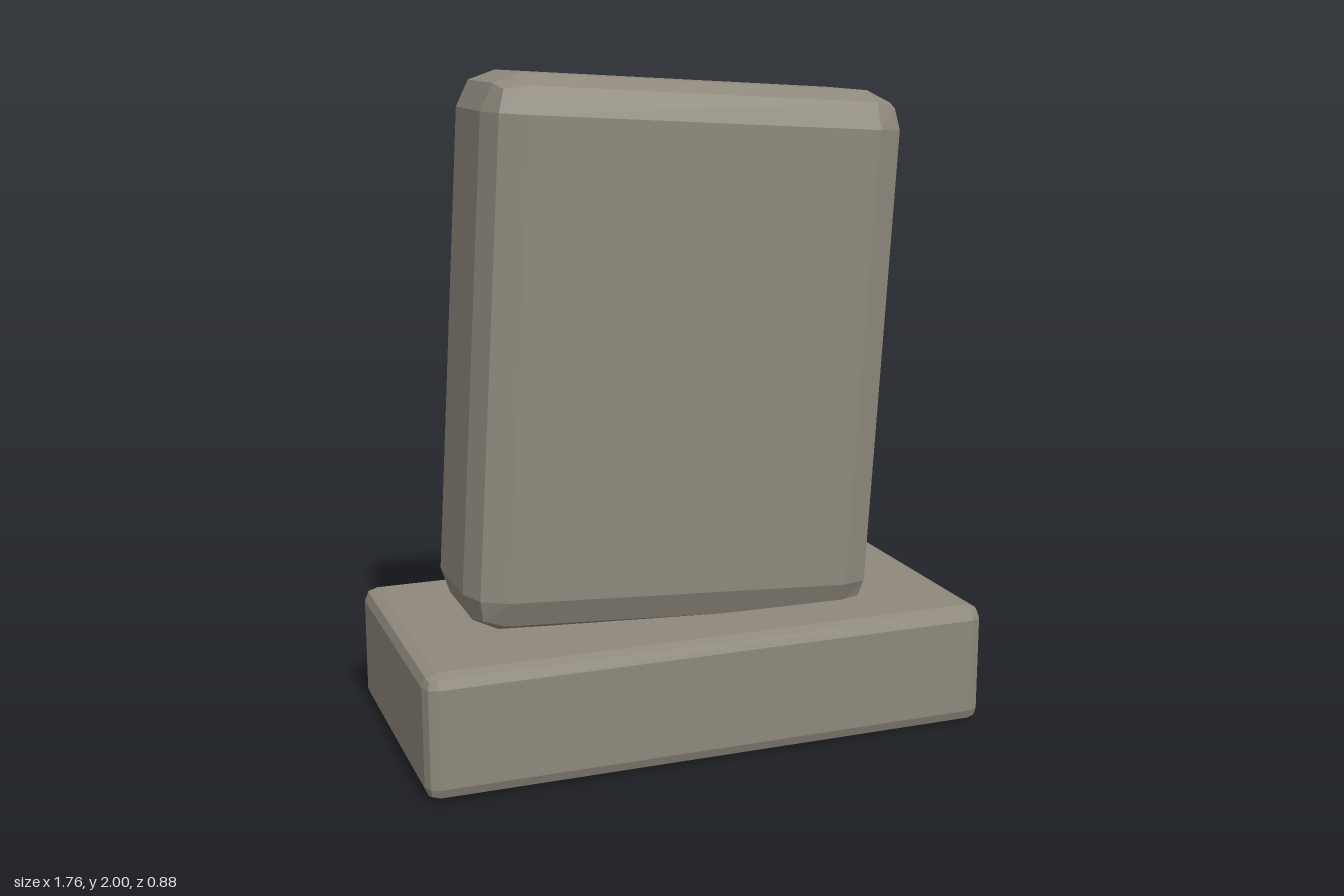
import * as THREE from 'three';
import { RoundedBoxGeometry } from 'three/addons/geometries/RoundedBoxGeometry.js';

const stone = new THREE.MeshStandardMaterial({ color: 0x8e887c, flatShading: true });
stone.name = 'weathered stone';

// Block with a two-facet bevel along every edge
function block(name, width, height, depth, bevel, y) {
  const mesh = new THREE.Mesh(new RoundedBoxGeometry(width, height, depth, 1, bevel), stone);
  mesh.name = name;
  mesh.position.y = y;
  return mesh;
}

export function createModel() {
  const model = new THREE.Group();
  model.name = 'leaningStone';

  // Low plinth standing on the ground
  const plinth = block('plinth', 1.756, 0.374, 0.885, 0.04, 0.187);

  // Upright slab, sunk into the plinth on one side and leaning to its left
  const slab = block('slab', 1.3, 1.62, 0.5, 0.112, 1.159);
  slab.rotation.z = -0.06;

  model.add(plinth, slab);
  return model;
}
